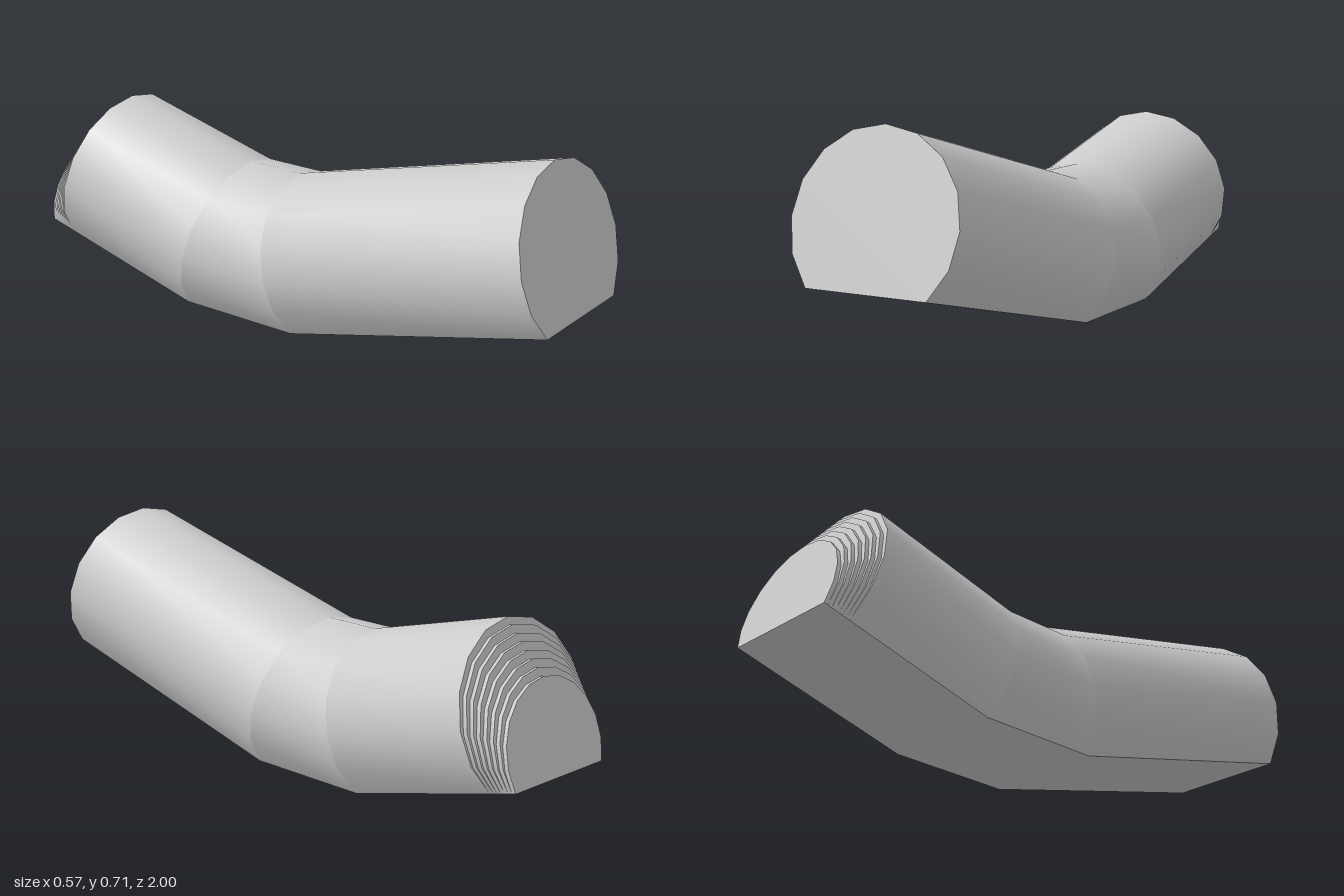
import * as THREE from 'three';
import { toCreasedNormals } from 'three/addons/utils/BufferGeometryUtils.js';

const HALF_FLOOR = 0.205; // half width of the flat underside
const HEIGHT = 0.485;     // full height of the tube, square to its axis
const SIDES = 12;         // facets of the arched part

// Circular arch of a given height standing on the flat floor: [x, v] points, v from 0 to height
function archProfile(height) {
  const centre = (height * height - HALF_FLOOR * HALF_FLOOR) / (2 * height);
  const radius = height - centre;
  const start = -Math.asin(centre / radius);
  const points = [];
  for (let i = 0; i <= SIDES; i++) {
    const a = start + (Math.PI - 2 * start) * i / SIDES;
    points.push([radius * Math.cos(a), centre + radius * Math.sin(a)]);
  }
  return points;
}

// Places a profile on the slanted plane running from floor to crown, both given as [z, y]
function section(floor, crown, height = HEIGHT) {
  return archProfile(height).map(([x, v]) => {
    const t = v / height;
    return [x, floor[1] + (crown[1] - floor[1]) * t, floor[0] + (crown[0] - floor[0]) * t];
  });
}

// Skins two sections, front to back, with optional end caps
function loft(name, a, b, capFront, capBack, material) {
  const n = a.length, pos = [];
  const tri = (...corners) => corners.forEach((c) => pos.push(...c));
  for (let i = 0; i < n; i++) {
    const j = (i + 1) % n;
    tri(a[i], b[i], a[j]);
    tri(a[j], b[i], b[j]);
  }
  for (let i = 1; i < n - 1; i++) {
    if (capFront) tri(a[0], a[i], a[i + 1]);
    if (capBack) tri(b[0], b[i + 1], b[i]);
  }
  const geometry = new THREE.BufferGeometry();
  geometry.setAttribute('position', new THREE.Float32BufferAttribute(pos, 3));
  const mesh = new THREE.Mesh(toCreasedNormals(geometry, 0.6), material);
  mesh.name = name;
  return mesh;
}

export function createModel() {
  const group = new THREE.Group();
  group.name = 'bentTunnel';
  const material = new THREE.MeshStandardMaterial({ color: 0xcccccc });

  // Three straight runs joined by mitred bends
  const front = section([1, 0.236], [0.883, 0.706]);
  const bendFront = section([0.062, 0], [-0.055, 0.47]);
  const bendBack = section([-0.375, 0], [-0.258, 0.47]);
  const back = section([-0.907, 0.136], [-0.79, 0.605]);
  group.add(
    loft('frontRun', front, bendFront, true, false, material),
    loft('middleRun', bendFront, bendBack, false, false, material),
    loft('backRun', bendBack, back, false, true, material),
  );

  // Stepped end: thin slabs with a lowering arch over the same floor width
  const steps = new THREE.Group();
  steps.name = 'steppedEnd';
  const COUNT = 7;
  const floorAt = (t) => [-0.907 - 0.093 * t, 0.136 + 0.024 * t];
  for (let i = 1; i <= COUNT; i++) {
    const height = HEIGHT - 0.185 * i / COUNT;
    const slice = (t) => {
      const f = floorAt(t);
      return section(f, [f[0] + 0.242 * height, f[1] + 0.97 * height], height);
    };
    steps.add(loft('step' + i, slice((i - 1) / COUNT), slice(i / COUNT), false, true, material));
  }
  group.add(steps);
  return group;
}
